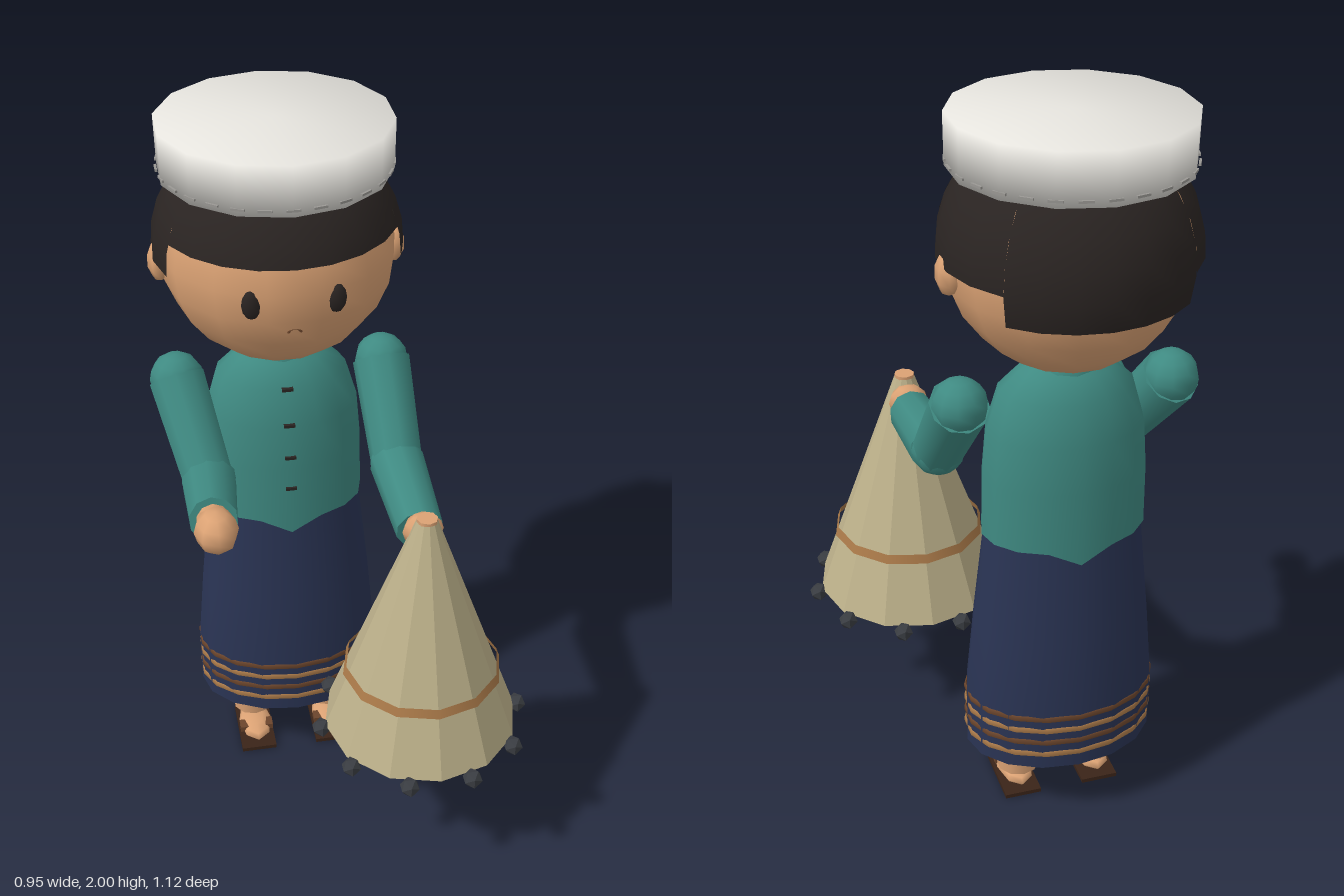
import * as THREE from 'three';

const mat = (color, opts = {}) => {
  const m = new THREE.MeshStandardMaterial({ color, side: THREE.DoubleSide, ...opts });
  return m;
};
const V = (x, y, z) => new THREE.Vector3(x, y, z);

export function createModel() {
  const skin = mat(0xdba274), teal = mat(0x3f8a82), navy = mat(0x2a3454), dark = mat(0x2a2422);
  const white = mat(0xe6e4de), grey = mat(0x9a9894), tan = mat(0xa87848), brown = mat(0x6b452c);
  const sole = mat(0x3a2418), net = mat(0xbcb08a, { flatShading: true });
  const lead = mat(0x3a3d42, { flatShading: true });

  const model = new THREE.Group();
  model.name = 'netFisher';
  const body = new THREE.Group();
  body.name = 'body';
  body.position.set(-0.12, 0, -0.24);
  model.add(body);

  const add = (parent, name, geo, material, pos = [0, 0, 0], scale = [1, 1, 1]) => {
    const mesh = new THREE.Mesh(geo, material);
    mesh.name = name;
    mesh.position.set(...pos);
    mesh.scale.set(...scale);
    parent.add(mesh);
    return mesh;
  };
  const lathe = (pts, seg) => new THREE.LatheGeometry(pts.map(([r, y]) => new THREE.Vector2(r, y)), seg);
  // tapered round limb between two points
  const limb = (parent, name, a, b, ra, rb, material) => {
    const m = add(parent, name, new THREE.CylinderGeometry(rb, ra, a.distanceTo(b), 10), material);
    m.position.copy(a).lerp(b, 0.5);
    m.quaternion.setFromUnitVectors(V(0, 1, 0), b.clone().sub(a).normalize());
    return m;
  };

  // Head and face
  add(body, 'head', new THREE.SphereGeometry(0.308, 14, 12), skin, [0, 1.663, 0]);
  for (const s of [-1, 1]) {
    add(body, s > 0 ? 'leftEye' : 'rightEye', new THREE.SphereGeometry(1, 8, 6), dark,
      [s * 0.105, 1.637, 0.278], [0.026, 0.04, 0.016]);
    add(body, s > 0 ? 'leftEar' : 'rightEar', new THREE.SphereGeometry(1, 7, 5), skin,
      [s * 0.306, 1.63, -0.01], [0.03, 0.054, 0.048]);
  }
  add(body, 'mouth', new THREE.TorusGeometry(0.016, 0.004, 4, 6, Math.PI), brown, [0, 1.55, 0.278], [1, 0.6, 1]);

  // Hair: fringe, sides and nape, each cut at its own height
  const deg = Math.PI / 180, R = 0.325;
  const hairPiece = (name, from, to, hem) => add(body, name,
    new THREE.SphereGeometry(R, Math.ceil((to - from) / 17), 8, from * deg, (to - from) * deg,
      0, Math.acos((hem - 1.66) / R)), dark, [0, 1.66, 0]);
  hairPiece('hairFringe', 24, 156, 1.74);
  hairPiece('hairLeftSide', 156, 224, 1.655);
  hairPiece('hairNape', 224, 316, 1.575);
  hairPiece('hairRightSide', 316, 384, 1.655);

  // Round cap with stitching along its edge
  add(body, 'cap', lathe([[0, 1.87], [0.298, 1.87], [0.3, 2], [0, 2]], 14), white);
  for (let i = 0; i < 28; i++) {
    const a = i / 28 * Math.PI * 2;
    const st = add(body, 'capStitch', new THREE.BoxGeometry(0.035, 0.006, 0.006), grey,
      [Math.sin(a) * 0.297, 1.887, Math.cos(a) * 0.297]);
    st.rotation.y = a;
  }

  // Shirt, with the hem dipping at front and back
  const shirt = lathe([[0.222, 0.88], [0.22, 1.05], [0.21, 1.18], [0.178, 1.29], [0.125, 1.342], [0.09, 1.365]], 16);
  const p = shirt.attributes.position;
  for (let i = 0; i < p.count; i++) {
    if (p.getY(i) < 0.9 && Math.abs(p.getX(i)) < 0.05) p.setY(i, 0.84);
  }
  add(body, 'shirt', shirt, teal, [0, 0, 0], [1, 1, 0.71]);
  add(body, 'collar', lathe([[0.095, 1.34], [0.088, 1.375], [0.07, 1.375]], 12), teal, [0, 0, 0], [1, 1, 0.88]);
  for (let i = 0; i < 4; i++) {
    add(body, 'button', new THREE.BoxGeometry(0.03, 0.008, 0.012), dark,
      [0, 1.29 - i * 0.1, [0.127, 0.149, 0.154, 0.156][i]]);
  }

  // Long skirt, open below, with woven bands
  add(body, 'skirt', lathe([[0.265, 0.2], [0.265, 0.38], [0.245, 0.6], [0.214, 0.89]], 16), navy, [0, 0, 0], [1, 1, 0.717]);
  [0.247, 0.287, 0.327, 0.366].forEach((y, i) => {
    add(body, 'skirtBand', lathe([[0.264, y - 0.009], [0.268, y - 0.006], [0.268, y + 0.006], [0.264, y + 0.009]], 18),
      i % 2 ? brown : tan, [0, 0, 0], [1, 1, 0.717]);
  });

  // Legs and sandals
  for (const s of [-1, 1]) {
    const leg = new THREE.Group();
    leg.name = s > 0 ? 'leftLeg' : 'rightLeg';
    leg.position.x = s * 0.115;
    body.add(leg);
    limb(leg, 'shin', V(0, 0.078, 0.005), V(0, 0.5, 0.005), 0.06, 0.08, skin);
    add(leg, 'foot', new THREE.SphereGeometry(1, 8, 6), skin, [0, 0.035, 0.045], [0.05, 0.025, 0.093]);
    add(leg, 'sandalSole', new THREE.BoxGeometry(0.105, 0.012, 0.2), sole, [0, 0.006, 0.045]);
    add(leg, 'sandalStrap', new THREE.BoxGeometry(0.1, 0.018, 0.035), brown, [0, 0.042, 0.075]);
  }

  // Arms: shoulder, elbow, wrist, hand
  const arm = (name, sh, el, wr, hand, handSize) => {
    const g = new THREE.Group();
    g.name = name;
    body.add(g);
    const ball = (n, c, r, m) => add(g, n, new THREE.SphereGeometry(r, 10, 8), m, c.toArray());
    ball('shoulder', sh, 0.073, teal);
    limb(g, 'upperSleeve', sh, el, 0.078, 0.07, teal);
    ball('elbow', el, 0.073, teal);
    limb(g, 'lowerSleeve', el, wr, 0.075, 0.063, teal);
    limb(g, 'wrist', wr, wr.clone().lerp(hand, 0.5), 0.045, 0.045, skin);
    add(g, 'hand', new THREE.SphereGeometry(1, 8, 6), skin, hand.toArray(), handSize);
  };
  arm('rightArm', V(-0.28, 1.275, -0.01), V(-0.225, 1.055, 0.17), V(-0.24, 1.115, 0.43), V(-0.24, 1.13, 0.495), [0.057, 0.058, 0.068]);
  arm('leftArm', V(0.28, 1.275, -0.01), V(0.29, 1.055, 0.17), V(0.295, 1.02, 0.44), V(0.297, 1.04, 0.47), [0.055, 0.05, 0.045]);

  // Cone-shaped casting net with a band and weights on its rim
  const castNet = new THREE.Group();
  castNet.name = 'castingNet';
  castNet.position.set(0.177, 0, 0.27);
  model.add(castNet);
  add(castNet, 'netCone', new THREE.CylinderGeometry(0.028, 0.268, 0.67, 12, 1, true), net, [0, 0.765, 0]);
  add(castNet, 'netTip', new THREE.CylinderGeometry(0.028, 0.028, 0.012, 8), skin, [0, 1.102, 0]);
  add(castNet, 'netBand', new THREE.CylinderGeometry(0.209, 0.218, 0.025, 12, 1, true), tan, [0, 0.622, 0]);
  for (let i = 0; i < 10; i++) {
    const a = i / 10 * Math.PI * 2;
    add(castNet, 'netWeight', new THREE.IcosahedronGeometry(0.028, 0), lead,
      [Math.cos(a) * 0.278, 0.422, Math.sin(a) * 0.278]);
  }
  return model;
}
